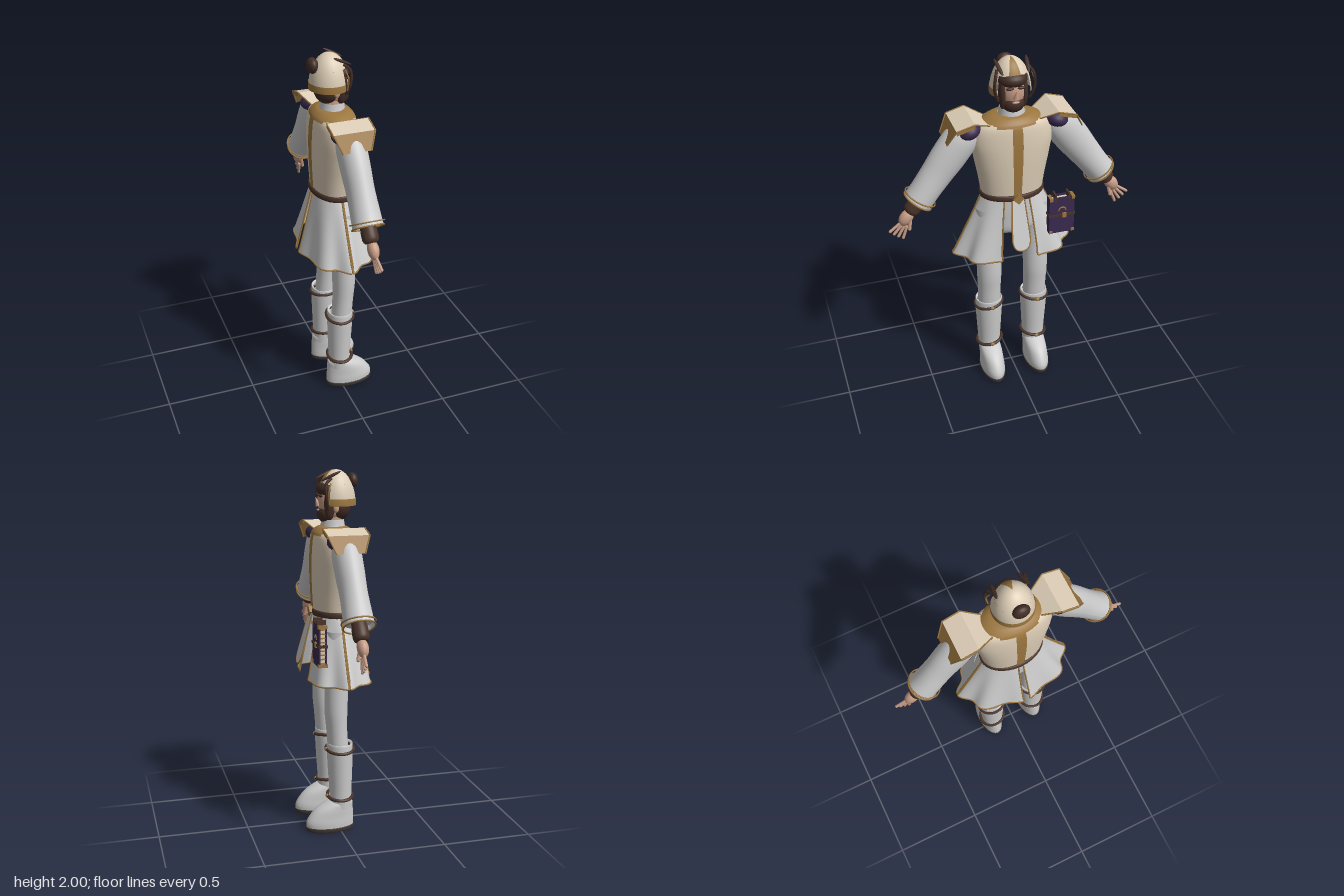
import * as THREE from 'three';

const mat = (name, color, double) => {
  const m = new THREE.MeshStandardMaterial({ color });
  m.name = name;
  if (double) m.side = THREE.DoubleSide;
  return m;
};

export function createModel() {
  const cloth = mat('white cloth', 0xcbcbcb, true);
  const cream = mat('cream armour', 0xdccdb6, true);
  const gold = mat('gold trim', 0x9c7740, true);
  const purple = mat('purple leather', 0x3a2a50);
  const leather = mat('brown leather', 0x4a342a);
  const hair = mat('dark hair', 0x412c25, true);
  const skin = mat('skin', 0xc79c85);
  const sole = mat('sole', 0x3f3732);

  const root = new THREE.Group();
  root.name = 'figure';
  const V = (x, y, z) => new THREE.Vector3(x, y, z);
  const add = (parent, name, geo, m, pos = [0, 0, 0], rot = [0, 0, 0], scl = [1, 1, 1]) => {
    const mesh = new THREE.Mesh(geo, m);
    mesh.name = name;
    mesh.position.set(...pos);
    mesh.rotation.set(...rot);
    mesh.scale.set(...scl);
    parent.add(mesh);
    return mesh;
  };
  const ball = (parent, name, m, pos, scl, rot) =>
    add(parent, name, new THREE.SphereGeometry(1, 24, 16), m, pos, rot, scl);
  const tube = (parent, name, pts, r, m, n = 48, closed = false) =>
    add(parent, name, new THREE.TubeGeometry(new THREE.CatmullRomCurve3(pts, closed), n, r, 6, closed), m);

  // Smooth surface from a rule f(u, v), both running 0..1
  const surface = (nu, nv, f) => {
    const pos = [], idx = [];
    for (let j = 0; j <= nv; j++)
      for (let i = 0; i <= nu; i++) pos.push(...f(i / nu, j / nv));
    for (let j = 0; j < nv; j++)
      for (let i = 0; i < nu; i++) {
        const a = j * (nu + 1) + i, b = a + nu + 1;
        idx.push(a, a + 1, b, a + 1, b + 1, b);
      }
    const g = new THREE.BufferGeometry();
    g.setAttribute('position', new THREE.Float32BufferAttribute(pos, 3));
    g.setIndex(idx);
    g.computeVertexNormals();
    return g;
  };
  // Loft through elliptical sections [y, rx, rz, cx], listed top to bottom
  const loft = (secs, { t0 = -Math.PI, t1 = Math.PI, grow = 0, nu = 32, nv = 24, pow = 1 } = {}) => {
    const ring = new THREE.CatmullRomCurve3(secs.map(s => V(s[0], s[1], s[2])), false, 'centripetal');
    const mid = new THREE.CatmullRomCurve3(secs.map(s => V(s[0], s[3] || 0, 0)), false, 'centripetal');
    const bend = c => Math.sign(c) * Math.abs(c) ** pow;
    return surface(nu, nv, (u, v) => {
      const t = t0 + (t1 - t0) * u, p = ring.getPoint(v);
      return [mid.getPoint(v).y + (p.y + grow) * bend(Math.cos(t)), p.x, (p.z + grow) * bend(Math.sin(t))];
    });
  };

  // Torso with gold front and back stripes, yoke, collar and belt
  const torso = [[1.675, .07, .1], [1.67, .1, .165], [1.64, .112, .205], [1.56, .12, .222], [1.46, .122, .208],
    [1.34, .118, .185], [1.24, .112, .17]];
  add(root, 'torso', loft(torso, { pow: .9 }), cream);
  const stripe = torso.slice(1);
  add(root, 'frontStripe', loft(stripe, { t0: -.1, t1: .1, grow: .004, nu: 4, pow: .9 }), gold);
  add(root, 'backStripe', loft(stripe, { t0: Math.PI - .1, t1: Math.PI + .1, grow: .004, nu: 4, pow: .9 }), gold);
  add(root, 'yoke', loft([[1.70, .062, .075], [1.692, .085, .12], [1.67, .108, .165], [1.655, .115, .185]]), gold);
  add(root, 'collar', loft([[1.735, .06, .064], [1.70, .066, .07], [1.67, .07, .08]]), cloth);
  add(root, 'belt', loft([[1.252, .108, .165], [1.25, .122, .178], [1.235, .126, .181], [1.22, .122, .178], [1.218, .108, .165]]), leather);
  add(root, 'buckle', new THREE.BoxGeometry(.02, .042, .042), gold, [.127, 1.236, 0], [Math.PI / 4, 0, 0]);
  add(root, 'hips', loft([[1.22, .105, .16], [1.1, .1, .165], [1.0, .085, .15], [.97, .0, .0]]), cloth);

  // Head, face and beard
  ball(root, 'head', skin, [0, 1.83, 0], [.082, .115, .072]);
  add(root, 'neck', new THREE.CylinderGeometry(.05, .055, .12, 20), skin, [-.005, 1.72, 0]);
  add(root, 'nose', new THREE.ConeGeometry(.016, .05, 8), skin, [.087, 1.832, 0], [0, 0, -.35]);
  ball(root, 'beard', hair, [.035, 1.765, 0], [.052, .05, .06]);
  ball(root, 'mouth', skin, [.078, 1.785, 0], [.01, .006, .02]);
  ball(root, 'fringe', hair, [.02, 1.895, 0], [.07, .045, .078]);
  ball(root, 'backHair', hair, [-.03, 1.80, 0], [.068, .075, .075]);
  ball(root, 'bun', hair, [-.108, 1.938, 0], [.03, .042, .045]);
  for (const s of [1, -1]) {
    ball(root, 'sideburn', hair, [.032, 1.82, s * .058], [.03, .085, .02]);
    ball(root, 'ear', skin, [.0, 1.80, s * .074], [.016, .026, .01]);
    ball(root, 'eyebrow', hair, [.074, 1.862, s * .03], [.01, .008, .022]);
    tube(root, 'hairStrand', [V(.03, 1.955, s * .085), V(.06, 1.93, s * .1), V(.062, 1.86, s * .106), V(.045, 1.79, s * .085)], .008, hair, 20);
    tube(root, 'strandTrim', [V(.035, 1.93, s * .096), V(.05, 1.88, s * .108), V(.045, 1.82, s * .102)], .004, gold, 16);
    ball(root, 'feather', hair, [.028, 1.968, s * .076], [.057, .008, .011], [0, s * .15, -.45]);
  }

  // Helmet: full crown, lower shell open at the face, gold rim and crest
  const helm = (name, m, grow, p0, pl, th0, thl) => add(root, name,
    new THREE.SphereGeometry(1, 28, 14, p0, pl, th0, thl), m, [-.018, 1.815, 0], [0, 0, 0],
    [.106 * grow, .183 * grow, .108 * grow]);
  const back = -2.15;
  helm('helmetCrown', cream, 1, 0, Math.PI * 2, 0, .95);
  helm('helmetShell', cream, 1, back, -2 * back, .95, .62);
  helm('helmetRim', gold, 1.025, back, -2 * back, 1.4, .2);
  helm('helmetCrest', gold, 1.012, Math.PI - .36, .72, 0, .96);

  // Skirt rule: t is the angle from the front, v runs from waist to hem
  const skirt = (t, v, out = 0) => {
    const w = 1 + .06 * v * Math.cos(8 * t), L = THREE.MathUtils.lerp;
    return [-.004 + (L(.112, .19, v) * w + out) * Math.cos(t), 1.225 - .355 * v, (L(.168, .32, v) * w + out) * Math.sin(t)];
  };
  const sides = [];
  for (const s of [1, -1]) {
    const side = new THREE.Group();
    side.name = s > 0 ? 'leftSide' : 'rightSide';
    side.scale.z = s;
    root.add(side);
    sides.push(side);

    // Skirt panels with gold piping
    for (const [name, a0, a1, b0, b1] of [['frontPanel', .42, 1.55, .35, 1.55], ['backPanel', 1.59, 3.06, 1.59, 3.08]]) {
      const at = (u, v, o) => {
        const p = a0 + (a1 - a0) * u, q = b0 + (b1 - b0) * u;
        return skirt(p + (q - p) * v, v, o);
      };
      add(side, name, surface(36, 14, (u, v) => at(u, v)), cloth);
      const path = [];
      for (let i = 0; i <= 8; i++) path.push(V(...at(0, i / 8, .001)));
      for (let i = 1; i < 24; i++) path.push(V(...at(i / 24, 1, .001)));
      for (let i = 8; i >= 0; i--) path.push(V(...at(1, i / 8, .001)));
      tube(side, name + 'Trim', path, .0045, gold, 120);
    }

    // Leg, boot shaft, straps and shoe
    const leg = new THREE.Group();
    leg.name = 'leg';
    leg.position.z = .137;
    side.add(leg);
    add(leg, 'trouser', loft([[1.15, .07, .07, .01], [.88, .066, .071, .014], [.7, .063, .07, .018], [.6, .058, .066, .014], [.48, .057, .064, .006]]), cloth);
    add(leg, 'bootShaft', loft([[.505, .058, .066, -.004], [.512, .07, .076, -.004], [.48, .072, .079, -.004], [.35, .068, .073, -.006], [.22, .062, .066, -.008], [.13, .062, .062, -.008]]), cloth);
    for (const [y, r] of [[.478, .076], [.2, .07]]) {
      add(leg, 'strap', new THREE.TorusGeometry(r, .009, 8, 32), leather, [-.005, y, 0], [Math.PI / 2 + .15, 0, 0], [1, 1.05, 1]);
      ball(leg, 'strapStud', gold, [r - .002, y, 0], [.009, .011, .013]);
    }
    add(leg, 'shoe', loft([[.178, .03, .03, -.005], [.168, .068, .057, -.004], [.13, .105, .064, .026], [.085, .127, .066, .045], [.05, .136, .068, .053], [.02, .136, .067, .053]]), cloth);
    add(leg, 'sole', loft([[.026, .13, .062, .053], [.024, .139, .07, .053], [.004, .137, .068, .053], [0, .13, .062, .053], [0, 0, 0, .053]]), sole);

    // Arm hanging outward from the shoulder
    const arm = new THREE.Group();
    arm.name = 'arm';
    arm.position.set(0, 1.6, .262);
    arm.rotation.x = -.634;
    side.add(arm);
    add(arm, 'sleeve', loft([[.075, 0, 0], [.06, .05, .06], [0, .074, .09], [-.12, .076, .096], [-.25, .072, .087], [-.37, .077, .08], [-.435, .08, .081]]), cloth);
    add(arm, 'sleeveLining', new THREE.CircleGeometry(.075, 24), cloth, [0, -.41, 0], [Math.PI / 2, 0, 0]);
    add(arm, 'cuffRing', new THREE.TorusGeometry(.083, .0045, 6, 36), gold, [0, -.435, 0], [Math.PI / 2, 0, 0]);
    add(arm, 'looseRing', new THREE.TorusGeometry(.089, .004, 6, 36), gold, [0, -.41, 0], [Math.PI / 2 + .08, 0, 0]);
    add(arm, 'wristband', loft([[-.41, .038, .04], [-.46, .043, .045], [-.5, .041, .043], [-.515, .03, .03], [-.515, 0, 0]]), leather);
    ball(arm, 'palm', skin, [.002, -.55, 0], [.03, .052, .036]);
    for (let i = 0; i < 4; i++) {
      const a = (i - 1.3) * .2;
      add(arm, 'finger', new THREE.CapsuleGeometry(.0085, .068, 4, 8), skin, [.008, -.585 - .045 * Math.cos(a), (i - 1.5) * .016 - .01 + .03 * Math.sin(a)], [-a, 0, .08]);
    }
    add(arm, 'thumb', new THREE.CapsuleGeometry(.01, .045, 4, 8), skin, [.018, -.575, -.036], [.45, 0, .2]);

    // Shoulder cap and folded shoulder guard
    ball(side, 'shoulderCap', purple, [0, 1.638, .24], [.094, .052, .072], [.25, 0, 0]);
    const fold = [[.12, 1.66, .06], [.225, 1.71, .113], [.322, 1.683, .112], [.367, 1.595, .076]];
    const guard = (name, i, m) => {
      const [a, b] = [fold[i], fold[i + 1]];
      add(side, name, surface(1, 1, (u, v) => {
        const [z, y, h] = v ? b : a;
        return [(1 - 2 * u) * h, y, z];
      }), m);
    };
    guard('guardInner', 0, cream);
    guard('guardTop', 1, cream);
    guard('guardDrop', 2, gold);
    for (const e of [1, -1])
      for (let i = 0; i < 3; i++) {
        const [a, b] = [fold[i], fold[i + 1]];
        tube(side, 'guardEdge', [V(e * a[2], a[1], a[0]), V(e * b[2], b[1], b[0])], .004, gold, 2);
        // Side lip of the guard
        if (i === 1) add(side, 'guardLip', surface(1, 1, (u, v) => {
          const [z, y, h] = u ? b : a;
          return [e * h, y - .022 * v, z];
        }), gold);
      }
  }

  // Front tabard hung from the belt
  const tabard = new THREE.Group();
  tabard.name = 'tabard';
  tabard.position.set(.122, 1.225, 0);
  tabard.rotation.z = .27;
  root.add(tabard);
  const flap = new THREE.Shape();
  flap.moveTo(-.035, 0);
  flap.lineTo(-.05, -.23);
  flap.quadraticCurveTo(-.046, -.29, 0, -.29);
  flap.quadraticCurveTo(.046, -.29, .05, -.23);
  flap.lineTo(.035, 0);
  add(tabard, 'tabardCloth', new THREE.ExtrudeGeometry(flap, { depth: .005, bevelEnabled: false, curveSegments: 10 }), cloth, [0, 0, 0], [0, Math.PI / 2, 0]);
  tube(tabard, 'tabardTrim', flap.getPoints(10).map(p => V(.003, p.y, p.x)), .004, gold, 60);

  // Book slung at the right hip
  const book = new THREE.Group();
  book.name = 'book';
  book.position.set(.135, 1.105, -.24);
  root.add(book);
  for (const x of [-.018, .018]) add(book, 'cover', new THREE.BoxGeometry(.007, .225, .142), purple, [x, 0, 0]);
  add(book, 'spine', new THREE.BoxGeometry(.043, .225, .008), purple, [0, 0, .068]);
  add(book, 'pages', new THREE.BoxGeometry(.03, .205, .122), cream, [0, 0, .003]);
  add(book, 'bookStrap', new THREE.BoxGeometry(.05, .014, .15), leather, [0, 0, 0]);
  add(book, 'clasp', new THREE.BoxGeometry(.012, .028, .024), gold, [.024, 0, -.012]);
  add(book, 'emblemRing', new THREE.TorusGeometry(.02, .004, 6, 20, Math.PI), gold, [.023, .03, .0], [0, Math.PI / 2, 0]);
  for (const z of [-1, 1]) {
    add(book, 'hanger', new THREE.BoxGeometry(.048, .05, .01), leather, [0, .11, z * .038]);
    for (const y of [-1, 1]) add(book, 'corner', new THREE.BoxGeometry(.05, .018, .018), gold, [0, y * .104, z * .063]);
  }
  for (let i = 0; i < 9; i++)
    add(book, 'pageTab', new THREE.BoxGeometry(.026, .005, .012), gold, [0, -.09 + i * .0225, -.066]);
  return root;
}
